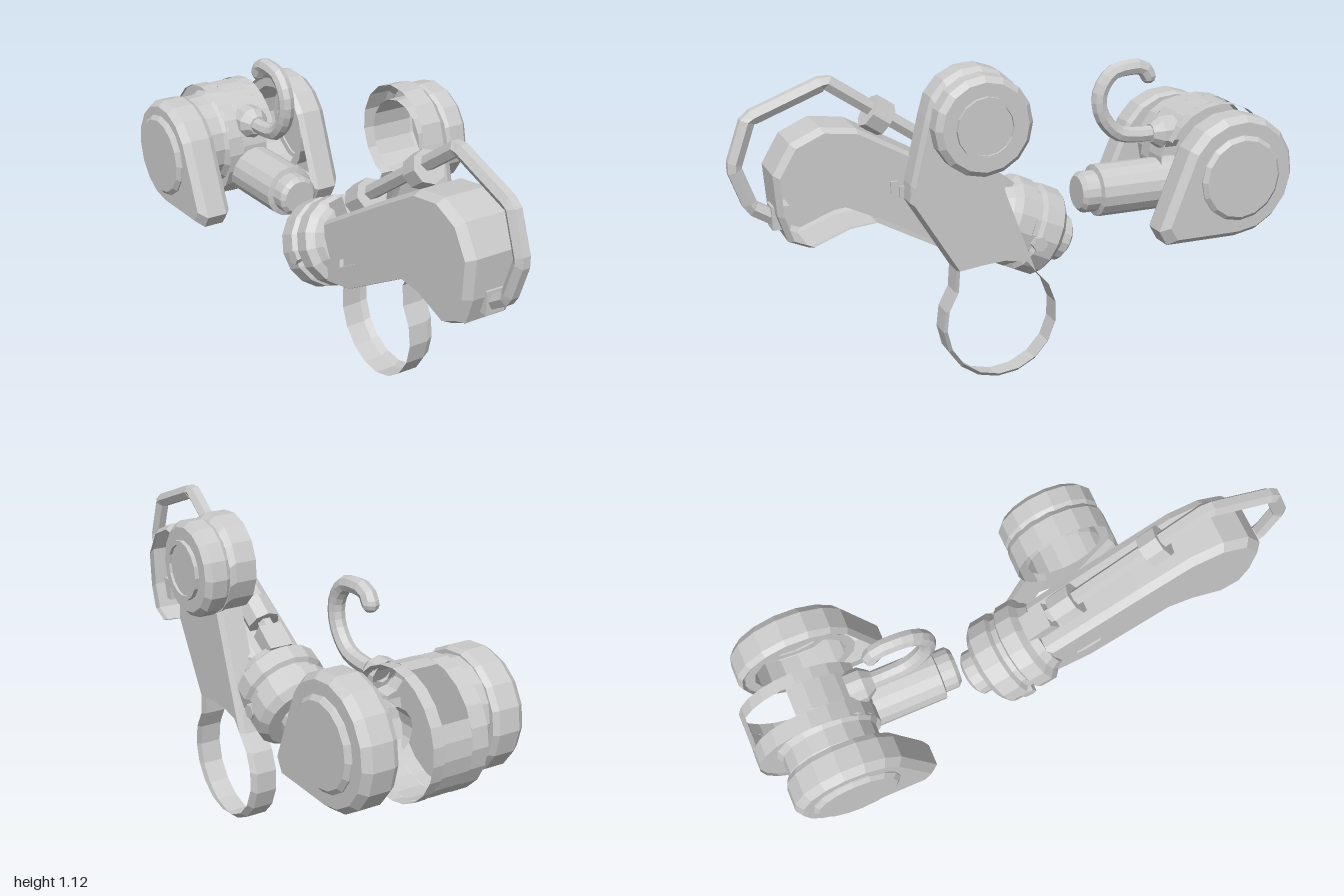
import * as THREE from 'three';

const mat = new THREE.MeshStandardMaterial({ color: 0xcccccc, flatShading: true, side: THREE.DoubleSide });
const UP = new THREE.Vector3(0, 1, 0);

function add(parent, name, geo, x = 0, y = 0, z = 0) {
  const m = new THREE.Mesh(geo, mat);
  m.name = name;
  m.position.set(x, y, z);
  parent.add(m);
  return m;
}

// points on an arc in the z-y plane
function arc(cz, cy, r, from, to, n) {
  return Array.from({ length: n + 1 }, (_, i) => {
    const a = THREE.MathUtils.degToRad(from + (to - from) * i / n);
    return [cz + r * Math.cos(a), cy + r * Math.sin(a)];
  });
}

// flat wall in the z-y plane at a given x, with optional holes
function wall(outline, x, holes = []) {
  const toV = p => new THREE.Vector2(-p[0], p[1]);
  const s = new THREE.Shape(outline.map(toV));
  holes.forEach(h => s.holes.push(new THREE.Path(h.map(toV))));
  return new THREE.ShapeGeometry(s).rotateY(Math.PI / 2).translate(x, 0, 0);
}

const inset = (outline, k) => {
  const n = outline.length;
  const cz = outline.reduce((s, p) => s + p[0], 0) / n;
  const cy = outline.reduce((s, p) => s + p[1], 0) / n;
  return outline.map(([z, y]) => [cz + (z - cz) * k, cy + (y - cy) * k]);
};

// rim swept around an outline; sections are [x, scale]
function rim(outline, sections) {
  const pos = [], idx = [], n = outline.length;
  sections.forEach(([x, k]) => inset(outline, k).forEach(([z, y]) => pos.push(x, y, z)));
  for (let s = 0; s < sections.length - 1; s++) {
    for (let i = 0; i < n; i++) {
      const a = s * n + i, b = s * n + (i + 1) % n;
      idx.push(a, b, a + n, b, b + n, a + n);
    }
  }
  const g = new THREE.BufferGeometry();
  g.setAttribute('position', new THREE.Float32BufferAttribute(pos, 3));
  g.setIndex(idx);
  g.computeVertexNormals();
  return g;
}

const lathe = (profile, n = 16) => new THREE.LatheGeometry(profile.map(p => new THREE.Vector2(...p)), n);
// turned parts along x and z; profile is [radius, position]
const turnX = (profile, n = 16) => lathe(profile, n).rotateZ(-Math.PI / 2);
const turnZ = (profile, n = 16) => lathe(profile, n).rotateX(Math.PI / 2);

function tube(points, r, sides, smooth) {
  const v = points.map(([z, y]) => new THREE.Vector3(0, y, z));
  if (smooth) return new THREE.TubeGeometry(new THREE.CatmullRomCurve3(v), 20, r, sides);
  const path = new THREE.CurvePath();
  v.slice(1).forEach((p, i) => path.add(new THREE.LineCurve3(v[i], p)));
  return new THREE.TubeGeometry(path, 60, r, sides);
}

// teardrop side cover, a cup closed on its outer face
function cover(name, cz, cy, r) {
  const c = new THREE.Group();
  c.name = name;
  const drop = [[-0.44, 0.5], ...arc(cz, cy, r, 30, 270, 11), [-0.47, cy - r]];
  add(c, 'coverRim', rim(drop, [[0.185, 0.95], [0.205, 1], [0.28, 1], [0.307, 0.9]]));
  add(c, 'coverFace', wall(inset(drop, 0.9), 0.307));
  add(c, 'coverCap', turnX([[0.155, 0.3], [0.155, 0.312], [0.14, 0.325], [0, 0.325]]), 0, cy, cz);
  return { c, drop };
}

function shoulder() {
  const g = new THREE.Group();
  g.name = 'shoulder';
  const left = cover('leftCover', -0.74, 0.67, 0.222);
  add(left.c, 'innerRing', turnX([[0.2, 0.19], [0.165, 0.19], [0.165, 0.29]]), 0, 0.67, -0.74);
  const right = cover('rightCover', -0.73, 0.662, 0.208);
  add(right.c, 'coverBack', wall(inset(right.drop, 0.95), 0.185));
  right.c.scale.x = -1;
  g.add(left.c, right.c);
  add(g, 'collar', turnX([[0.15, -0.2], [0.165, -0.18], [0.165, -0.12], [0.18, -0.1]]), 0, 0.69, -0.75);

  // hollow drum, angles in turns: 0 front, 0.5 rear, 0.75 top
  const R = 0.217;
  const band = (name, x0, x1, from, to) => add(g, name,
    new THREE.CylinderGeometry(R, R, x1 - x0, 20, 1, true, from * 2 * Math.PI, (to - from) * 2 * Math.PI)
      .rotateZ(-Math.PI / 2), (x0 + x1) / 2, 0.665, -0.78);
  band('drumEdge', -0.11, -0.05, 0, 1);
  // window in the upper back, notch in the front of the open edge
  band('drumShell', -0.05, 0.05, -0.275, 0.575);
  band('drumOpenEdge', 0.05, 0.092, 0.04, 0.93);
  add(g, 'drumWall', turnX([[0, -0.1], [R, -0.1]], 20), 0, 0.665, -0.78);

  add(g, 'shank', turnZ([[0.095, -0.64], [0.095, -0.32], [0.075, -0.315], [0.075, -0.265], [0.06, -0.25], [0, -0.25]]), 0, 0.585, 0);
  add(g, 'hookBase', turnZ([[0.06, -0.63], [0.06, -0.575], [0.035, -0.54], [0, -0.54]], 10), 0, 0.775, 0);
  add(g, 'hook', tube([[-0.6, 0.78], [-0.5, 0.775], [-0.41, 0.79], [-0.345, 0.86], [-0.335, 0.94],
    [-0.38, 1.01], [-0.44, 1.025], [-0.5, 1.022], [-0.525, 0.99]], 0.029, 8, true));
  add(g, 'hookTip', new THREE.SphereGeometry(0.029, 8, 6), 0, 0.99, -0.525);
  return g;
}

function elbow() {
  const g = new THREE.Group();
  g.name = 'elbow';
  const joint = add(g, 'elbowJoint', lathe([[0, -0.03], [0.12, -0.03], [0.135, 0], [0.162, 0.02], [0.162, 0.08], [0.145, 0.09],
    [0.145, 0.11], [0.162, 0.12], [0.162, 0.19], [0.135, 0.215], [0.085, 0.215], [0.085, 0.275], [0.065, 0.29], [0, 0.29]]), 0, 0.54, 0.065);
  joint.quaternion.setFromUnitVectors(UP, new THREE.Vector3(0, -0.42, -0.9).normalize());
  for (const s of [-1, 1]) {
    add(g, 'bolt', new THREE.CylinderGeometry(0.028, 0.028, 0.03, 6).rotateZ(Math.PI / 2), s * 0.149, 0.47, -0.04);
  }
  // link block where the rod meets the joint
  add(g, 'linkBlock', new THREE.BoxGeometry(0.09, 0.07, 0.1), 0, 0.665, 0.07).rotation.x = -0.6;
  return g;
}

function forearm() {
  const g = new THREE.Group();
  g.name = 'forearm';
  const outline = [[0.06, 0.4], [0.2, 0.425], [0.52, 0.6], [0.62, 0.59], [0.75, 0.54], [0.82, 0.57], [0.85, 0.66],
    [0.86, 0.8], [0.8, 0.9], [0.7, 0.945], [0.58, 0.93], [0.4, 0.83], [0.04, 0.62]];
  const slot = [[0.17, 0.5], [0.26, 0.55], [0.26, 0.58], [0.17, 0.53]];
  add(g, 'forearmRim', rim(outline, [[-0.108, 0.93], [-0.08, 1], [0.075, 1], [0.1, 0.94]]));
  add(g, 'outerWall', wall(inset(outline, 0.93), -0.108, [slot]));
  add(g, 'slotBack', wall(slot, -0.09));
  // partial inner wall leaves the hand end open
  add(g, 'innerWall', wall([[0.08, 0.42], [0.2, 0.44], [0.5, 0.61], [0.65, 0.68], [0.53, 0.79], [0.51, 0.87], [0.39, 0.81], [0.06, 0.61]], 0.09));
  for (const [z, y] of [[0.46, 0.72], [0.43, 0.7]]) {
    add(g, 'latch', new THREE.BoxGeometry(0.02, 0.04, 0.025), 0.09, y, z);
  }
  // guard rod over the top, bent round the front
  add(g, 'guardRod', tube([[0.03, 0.65], [0.655, 1.075], [0.915, 0.975], [0.97, 0.82], [0.92, 0.68], [0.83, 0.625]], 0.028, 6, false));
  for (const [z, y, l] of [[0.485, 0.945, 0.07], [0.17, 0.735, 0.09]]) {
    add(g, 'rodCollar', new THREE.CylinderGeometry(0.06, 0.06, l, 8), 0, y, z)
      .quaternion.setFromUnitVectors(UP, new THREE.Vector3(0, 0.56, 0.83).normalize());
  }
  add(g, 'rodFoot', new THREE.BoxGeometry(0.07, 0.08, 0.06), 0, 0.64, 0.83);
  return g;
}

function sidePlate() {
  const g = new THREE.Group();
  g.name = 'sidePlate';
  const top = [[0.137, 0.792], ...arc(0.2, 0.95, 0.172, 235, 5, 10), [0.425, 0.74], [0.43, 0.68]];
  // the lower loop is a bare rim without a face
  const loop = [[0.27, 0.42], ...arc(0.11, 0.212, 0.21, 38, -232, 13)];
  const full = [...top, ...loop];
  add(g, 'plateRim', rim(full, [[0.088, 1], [0.165, 1], [0.188, 0.965]]));
  const face = inset(full, 0.965);
  add(g, 'plateFace', wall([...face.slice(0, top.length + 1), [0.18, 0.435], [0.1, 0.44], [0.02, 0.425], face[face.length - 1]], 0.188,
    [arc(0.2, 0.94, 0.13, 0, 345, 23)]));
  // hollow pivot cup
  add(g, 'pivotCup', turnX([[0.13, 0.1], [0.13, 0.25]]), 0, 0.94, 0.2);
  add(g, 'pivotDisc', turnX([[0.16, 0.18], [0.17, 0.2], [0.17, 0.255], [0.15, 0.275], [0.105, 0.275],
    [0.105, 0.29], [0.09, 0.29], [0.09, 0.28], [0, 0.28]]), 0, 0.94, 0.2);
  return g;
}

export function createModel() {
  const model = new THREE.Group();
  model.name = 'mechanicalArm';
  model.add(shoulder(), elbow(), forearm(), sidePlate());
  return model;
}
